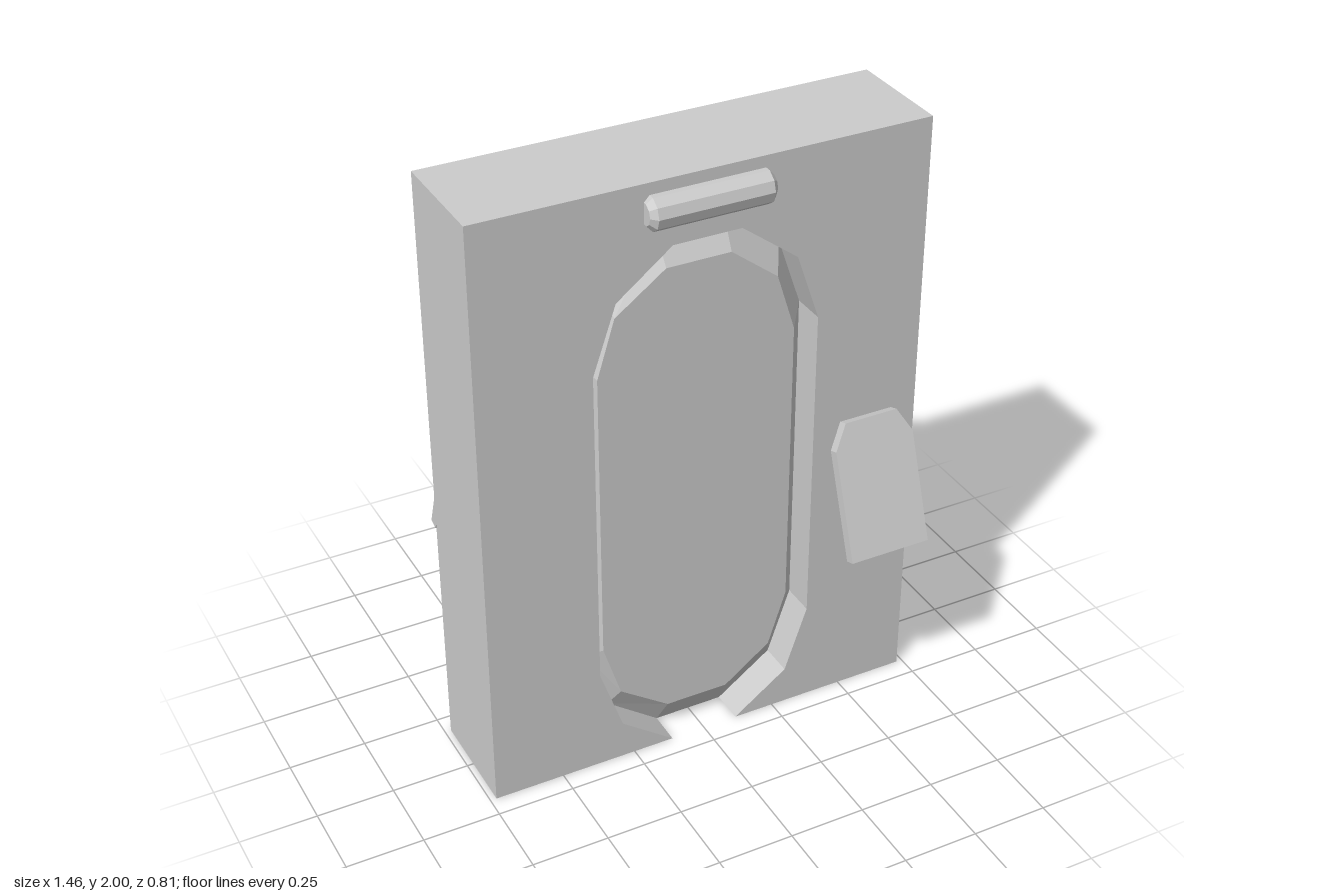
import * as THREE from 'three';

const material = new THREE.MeshStandardMaterial({ color: 0xcccccc, flatShading: true });

function part(name, geometry, parent) {
  const mesh = new THREE.Mesh(geometry, material);
  mesh.name = name;
  parent.add(mesh);
  return mesh;
}

// Flat outline extruded symmetrically about z = 0
function slab(points, depth) {
  const shape = new THREE.Shape(points.map(([x, y]) => new THREE.Vector2(x, y)));
  const geometry = new THREE.ExtrudeGeometry(shape, { depth, bevelEnabled: false });
  return geometry.translate(0, 0, -depth / 2);
}

// Opening outline, clockwise from its lower left corner
const opening = [
  [-0.115, 0], [-0.29, 0.13], [-0.365, 0.35], [-0.365, 1.43], [-0.29, 1.65], [-0.11, 1.79],
  [0.11, 1.79], [0.295, 1.65], [0.37, 1.43], [0.37, 0.35], [0.295, 0.13], [0.115, 0],
];
// Raised face of the door, in the same order
const panel = [
  [-0.105, 0.1], [-0.27, 0.215], [-0.328, 0.4], [-0.328, 1.38], [-0.27, 1.57], [-0.105, 1.69],
  [0.105, 1.69], [0.26, 1.57], [0.32, 1.38], [0.32, 0.4], [0.26, 0.215], [0.105, 0.1],
];

// Closed door body lofted through rings: back face, rim, front face
function doorGeometry() {
  const rings = [[panel, -0.13], [opening, -0.07], [opening, 0.07], [panel, 0.13]];
  const n = opening.length;
  const positions = [];
  const index = [];
  for (const [outline, z] of rings) for (const [x, y] of outline) positions.push(x, y, z);
  for (let r = 0; r < rings.length - 1; r++) {
    for (let i = 0; i < n; i++) {
      const a = r * n + i, b = r * n + (i + 1) % n;
      index.push(a, a + n, b, b, a + n, b + n);
    }
  }
  const last = (rings.length - 1) * n;
  for (let i = 1; i < n - 1; i++) {
    index.push(0, i, i + 1);
    index.push(last, last + i + 1, last + i);
  }
  const geometry = new THREE.BufferGeometry();
  geometry.setAttribute('position', new THREE.Float32BufferAttribute(positions, 3));
  geometry.setIndex(index);
  const flat = geometry.toNonIndexed();
  flat.computeVertexNormals();
  return flat;
}

// Fittings on one face of the wall
function createFittings() {
  const side = new THREE.Group();

  // Lamp bar with chamfered ends above the door
  const profile = [[0, -0.2], [0.035, -0.2], [0.055, -0.182], [0.055, 0.182], [0.035, 0.2], [0, 0.2]];
  const bar = new THREE.LatheGeometry(profile.map(([r, y]) => new THREE.Vector2(r, y)), 10);
  const lamp = part('lamp', bar.rotateZ(Math.PI / 2), side);
  lamp.position.set(0, 1.91, 0.185);

  // Tilted control panel on a short arm
  const control = new THREE.Group();
  control.name = 'controlPanel';
  control.position.set(0.527, 0.868, 0.315);
  control.rotation.x = -THREE.MathUtils.degToRad(20);
  const w = 0.136, h = 0.219;
  part('panelPlate', slab([
    [-w, -h], [w, -h], [w, h - 0.08], [w - 0.046, h], [-w + 0.046, h], [-w, h - 0.08],
  ], 0.034), control);
  const arm = part('panelArm', new THREE.BoxGeometry(0.106, 0.11, 0.19), control);
  arm.position.set(0, -0.034, -0.105);
  side.add(control);
  return side;
}

export function createModel() {
  const model = new THREE.Group();
  model.name = 'doorway';

  // Thick wall with the opening cut through down to the floor
  part('wall', slab([
    [-0.73, 0], ...opening, [0.73, 0], [0.73, 2], [-0.73, 2],
  ], 0.364), model);
  part('door', doorGeometry(), model);

  // The same fittings on the front and, turned round, on the back
  for (const [name, turn] of [['frontFittings', 0], ['backFittings', Math.PI]]) {
    const fittings = createFittings();
    fittings.name = name;
    fittings.rotation.y = turn;
    model.add(fittings);
  }
  return model;
}
